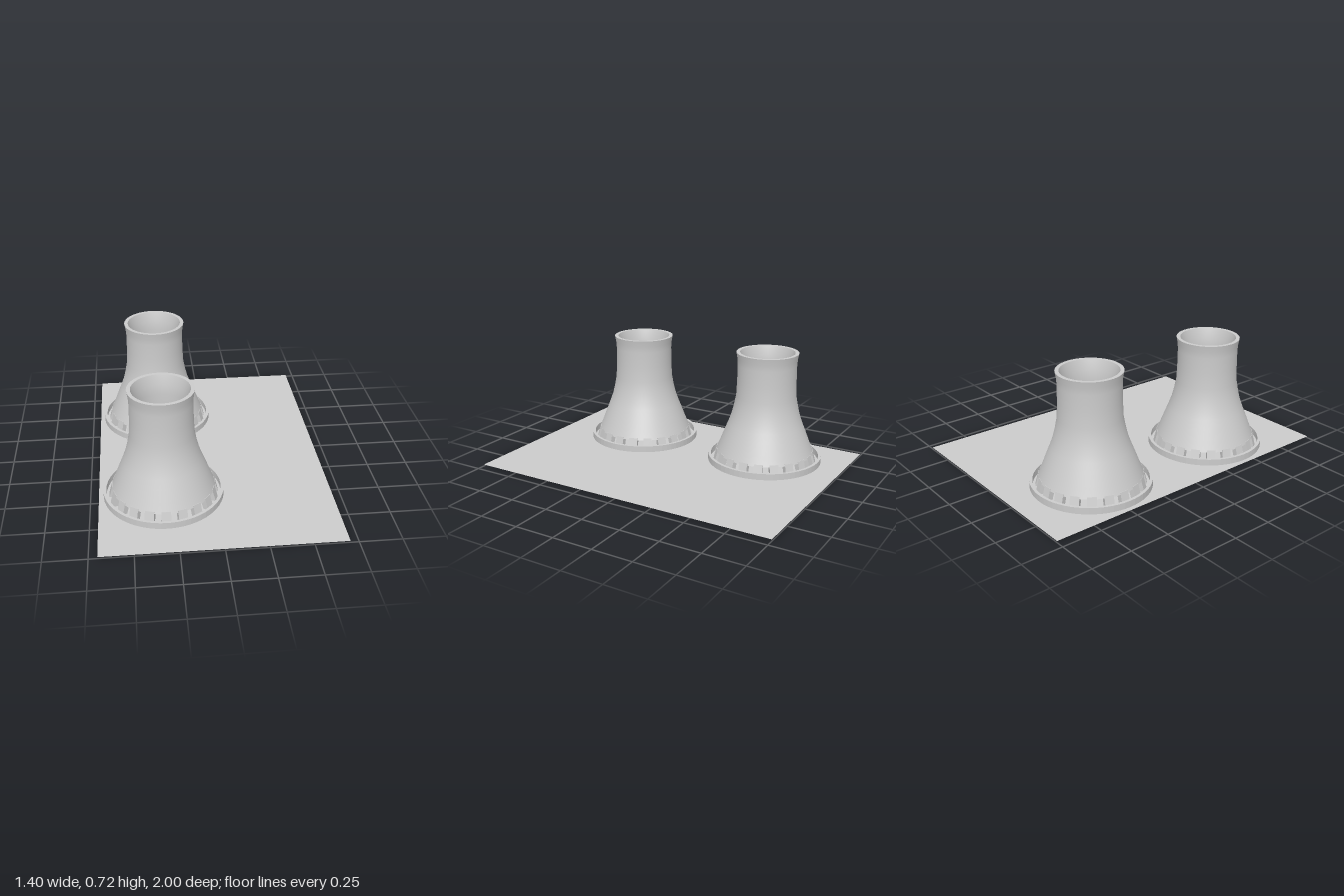
import * as THREE from 'three';

const material = new THREE.MeshStandardMaterial({ color: 0xcccccc, side: THREE.DoubleSide });
const waterMaterial = new THREE.MeshStandardMaterial({ color: 0xffffff });
const LEGS = 20;

function mesh(name, geometry, mat = material) {
  const m = new THREE.Mesh(geometry, mat);
  m.name = name;
  return m;
}

function lathe(points, segments) {
  return new THREE.LatheGeometry(points.map(([r, y]) => new THREE.Vector2(r, y)), segments);
}

// Sloped block whose top and bottom sit at different radii (local +z is outward)
function legGeometry() {
  const g = new THREE.BoxGeometry(0.055, 1, 1);
  const p = g.attributes.position;
  for (let i = 0; i < p.count; i++) {
    const top = p.getY(i) > 0, outer = p.getZ(i) > 0;
    p.setY(i, top ? 0.085 : 0);
    p.setZ(i, top ? (outer ? 0.307 : 0.272) : (outer ? 0.33 : 0.298));
  }
  g.computeVertexNormals();
  return g;
}

function coolingTower() {
  const tower = new THREE.Group();
  tower.name = 'coolingTower';

  // Hyperbolic outer wall, rim, inner wall and lower edge
  const outer = [[0.31, 0.073], [0.285, 0.135], [0.26, 0.2], [0.238, 0.255], [0.218, 0.31],
    [0.203, 0.37], [0.19, 0.44], [0.186, 0.54], [0.185, 0.64], [0.188, 0.68], [0.195, 0.72]];
  const inner = [[0.172, 0.72], [0.156, 0.66], [0.151, 0.6], [0.152, 0.5], [0.157, 0.44],
    [0.186, 0.31], [0.228, 0.2], [0.275, 0.073]];
  tower.add(mesh('outerShell', lathe(outer, 64)));
  tower.add(mesh('innerShell', lathe(inner, 64)));
  tower.add(mesh('topRim', lathe([outer[outer.length - 1], inner[0]], 64)));
  tower.add(mesh('lowerEdge', lathe([inner[inner.length - 1], outer[0]], 64)));

  // Legs around the air inlet
  const geometry = legGeometry();
  for (let i = 0; i < LEGS; i++) {
    const leg = mesh('leg', geometry);
    leg.rotation.y = (i / LEGS) * Math.PI * 2;
    tower.add(leg);
  }

  // Basin wall: a thin upright ring with crisp edges
  const ring = new THREE.Shape().absarc(0, 0, 0.362, 0, Math.PI * 2);
  ring.holes.push(new THREE.Path().absarc(0, 0, 0.344, 0, Math.PI * 2, true));
  const basin = mesh('basinWall', new THREE.ExtrudeGeometry(ring,
    { depth: 0.042, bevelEnabled: false, curveSegments: 32 }));
  basin.rotation.x = -Math.PI / 2;
  basin.position.y = 0.008;
  tower.add(basin);

  // Pale basin floor under the shell
  const floor = mesh('basinFloor', new THREE.CircleGeometry(0.29, 48), waterMaterial);
  floor.rotation.x = -Math.PI / 2;
  floor.position.y = 0.014;
  tower.add(floor);
  return tower;
}

export function createModel() {
  const model = new THREE.Group();
  model.name = 'coolingTowers';

  const slab = mesh('groundSheet', new THREE.PlaneGeometry(1.4, 2));
  slab.rotation.x = -Math.PI / 2;
  slab.position.y = 0.01;
  model.add(slab);

  for (const z of [-0.487, 0.43]) {
    const tower = coolingTower();
    tower.position.set(-0.31, 0, z);
    model.add(tower);
  }
  return model;
}
